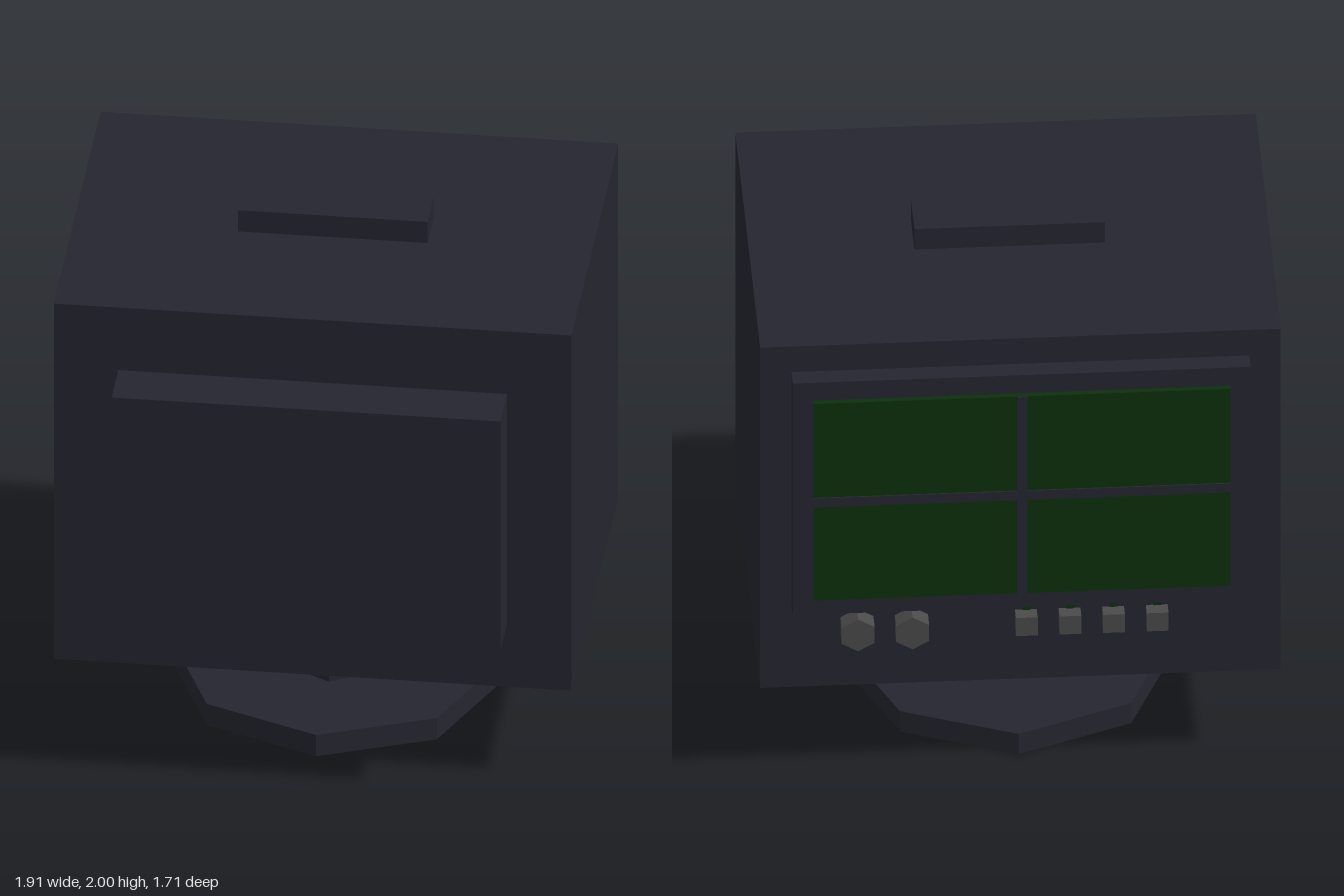
import * as THREE from 'three';

const material = (name, color) => {
  const m = new THREE.MeshStandardMaterial({ color });
  m.name = name;
  return m;
};

export function createModel() {
  const model = new THREE.Group();
  model.name = 'monitor';
  const casing = material('dark casing', 0x252530);
  const glass = material('dark green glass', 0x0c300c);
  const grey = material('grey control', 0x4a4a4a);

  const add = (name, geometry, mat, x, y, z) => {
    // separate normals per face keep the facets crisp
    const g = geometry.toNonIndexed();
    g.computeVertexNormals();
    const mesh = new THREE.Mesh(g, mat);
    mesh.name = name;
    mesh.position.set(x, y, z);
    model.add(mesh);
    return mesh;
  };
  // box from its lower and upper limits on each axis
  const box = (name, mat, [x0, x1], [y0, y1], [z0, z1]) =>
    add(name, new THREE.BoxGeometry(x1 - x0, y1 - y0, z1 - z0), mat,
      (x0 + x1) / 2, (y0 + y1) / 2, (z0 + z1) / 2);

  // stand
  add('standBase', new THREE.CylinderGeometry(0.6, 0.6, 0.09, 8), casing, 0, 0.045, -0.05);
  add('standNeck', new THREE.CylinderGeometry(0.21, 0.21, 0.32, 6), casing, 0, 0.25, -0.05);

  // cabinet, tube housing and top block
  box('cabinet', casing, [-0.955, 0.955], [0.405, 1.91], [-0.753, 0.653]);
  box('tubeHousing', casing, [-0.717, 0.717], [0.67, 1.645], [0.653, 0.854]);
  box('topBlock', casing, [-0.35, 0.35], [1.91, 2], [-0.15, 0.05]);

  // screen with its frame and the cross that divides it in four
  box('screenFrame', casing, [-0.84, 0.84], [0.772, 1.797], [-0.828, -0.753]);
  box('screen', glass, [-0.765, 0.765], [0.848, 1.718], [-0.85, -0.828]);
  box('screenDividerUpright', casing, [-0.02, 0.02], [0.848, 1.718], [-0.855, -0.85]);
  box('screenDividerAcross', casing, [-0.765, 0.765], [1.263, 1.303], [-0.855, -0.85]);

  // two hexagonal knobs
  for (const x of [0.6, 0.4]) {
    const knob = new THREE.CylinderGeometry(0.07, 0.07, 0.072, 6).rotateX(Math.PI / 2);
    add('knob', knob, grey, x, 0.67, -0.789);
  }

  // four push buttons, each with a small lamp above
  for (let i = 0; i < 4; i++) {
    const x = -0.02 - i * 0.16;
    box('button', grey, [x - 0.04, x + 0.04], [0.63, 0.71], [-0.808, -0.753]);
    box('buttonLamp', glass, [x - 0.015, x + 0.015], [0.735, 0.765], [-0.794, -0.764]);
  }

  return model;
}
